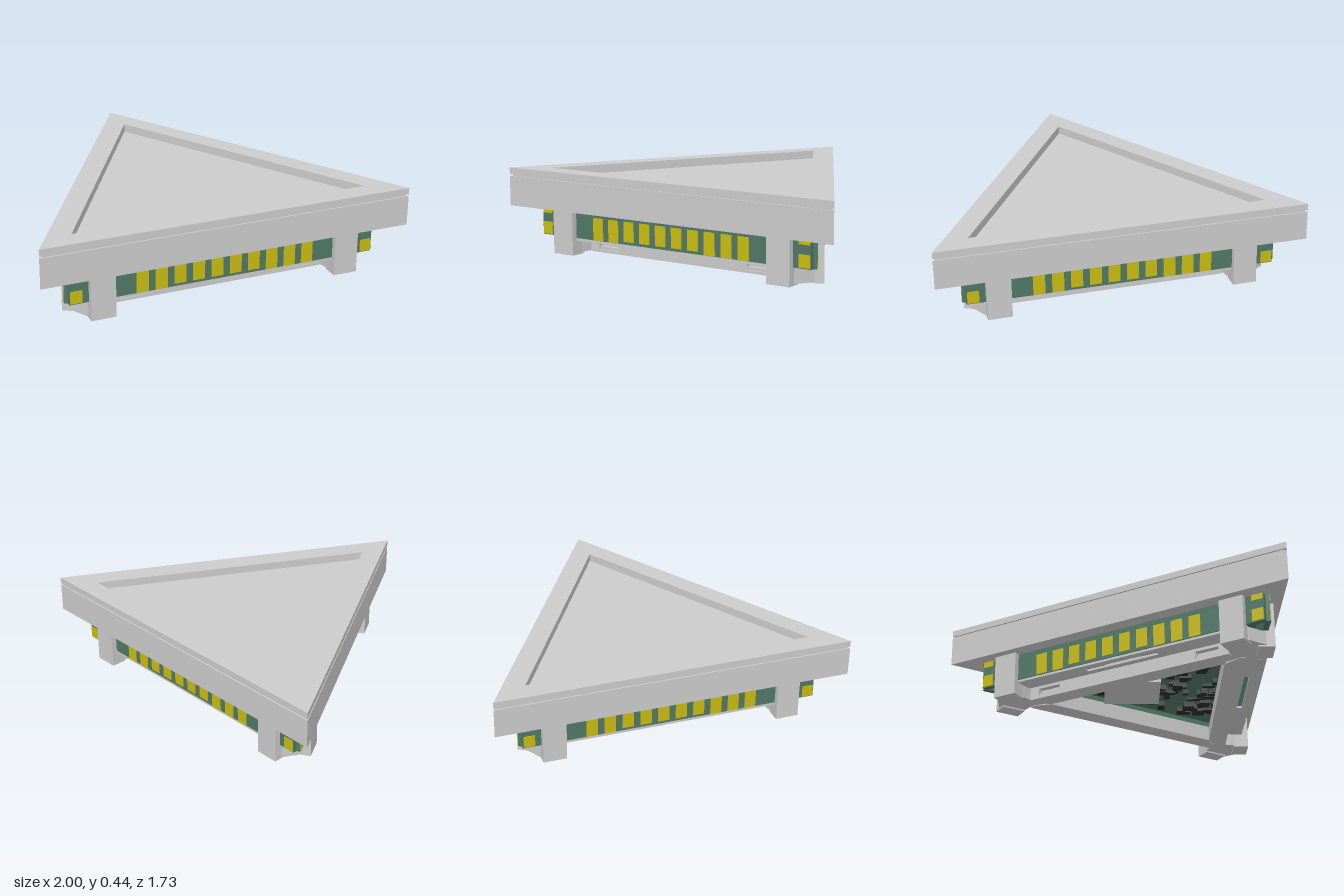
import * as THREE from 'three';

const mat = (name, color) => {
  const m = new THREE.MeshStandardMaterial({ color });
  m.name = name;
  return m;
};

export function createModel() {
  const grey = mat('casing grey', 0xcbcbcb);
  const green = mat('board green', 0x4f7868);
  const gold = mat('contact gold', 0xc9bb10);
  const black = mat('chip black', 0x2b302e);

  const model = new THREE.Group();
  model.name = 'triangularDevice';
  // All parts are laid out around the centre of the triangle
  const core = new THREE.Group();
  core.position.z = 0.289;
  model.add(core);

  const add = (parent, name, geo, material) => {
    const mesh = new THREE.Mesh(geo, material);
    mesh.name = name;
    parent.add(mesh);
    return mesh;
  };
  const box = (parent, name, material, x0, x1, y0, y1, z0, z1) =>
    add(parent, name, new THREE.BoxGeometry(x1 - x0, y1 - y0, z1 - z0)
      .translate((x0 + x1) / 2, (y0 + y1) / 2, (z0 + z1) / 2), material);

  // Flat slab from [x, z] outlines, standing between two heights
  const slab = (parent, name, material, pts, y0, y1, hole) => {
    const toV = (p) => p.map(([x, z]) => new THREE.Vector2(x, -z));
    const shape = new THREE.Shape(toV(pts));
    if (hole) shape.holes.push(new THREE.Path(toV(hole)));
    const geo = new THREE.ExtrudeGeometry(shape, { depth: y1 - y0, bevelEnabled: false });
    geo.rotateX(-Math.PI / 2).translate(0, y0, 0);
    return add(parent, name, geo, material);
  };
  // Equilateral triangle by the distance from its centre to a side
  const tri = (d) => [[-d * Math.sqrt(3), d], [d * Math.sqrt(3), d], [0, -2 * d]];
  const rect = (x0, x1, z0, z1) => [[x0, z0], [x1, z0], [x1, z1], [x0, z1]];

  // Head: solid body, thin seam, rim around the sunken screen
  const D = 0.5774;
  slab(core, 'headBody', grey, tri(D), 0.24, 0.4);
  slab(core, 'seam', grey, tri(D - 0.008), 0.4, 0.41, tri(0.462));
  slab(core, 'screenRim', grey, tri(D), 0.41, 0.445, tri(0.462));

  // Main board, seen through the open underside
  slab(core, 'mainBoard', green, tri(0.465), 0.2, 0.215);

  for (let k = 0; k < 3; k++) {
    const side = new THREE.Group();
    side.name = 'side' + (k + 1);
    side.rotation.y = (k * Math.PI * 2) / 3;
    core.add(side);

    // Edge board with its row of contacts
    box(side, 'edgeBoard', green, -0.835, 0.835, 0.09, 0.24, 0.475, 0.503);
    for (let i = 0; i < 10; i++) {
      const x = -0.455 + i * 0.101;
      box(side, 'contact', gold, x - 0.032, x + 0.032, i > 1 && i < 7 ? 0.105 : 0.092, 0.21, 0.5, 0.507);
    }

    // Ledge under the edge board, with a long slot
    slab(side, 'ledge', grey,
      [[-0.62, 0.5], [0.62, 0.5], [0.62, 0.36], [0.52, 0.3], [-0.52, 0.3], [-0.62, 0.36]],
      0.076, 0.089, rect(-0.21, 0.21, 0.435, 0.462));

    // Lower bar: front plate with two latch slots, and its backing
    const plate = new THREE.Shape([[-0.59, 0.005], [0.59, 0.005], [0.59, 0.076], [-0.59, 0.076]]
      .map(([x, y]) => new THREE.Vector2(x, y)));
    for (const s of [-1, 1]) {
      const a = s * 0.47 - 0.065, b = s * 0.47 + 0.065;
      plate.holes.push(new THREE.Path([[a, 0.02], [b, 0.02], [b, 0.06], [a, 0.06]]
        .map(([x, y]) => new THREE.Vector2(x, y))));
      box(side, 'latch', grey, a, b, 0.02, 0.036, 0.37, 0.392);
    }
    add(side, 'lowerBar', new THREE.ExtrudeGeometry(plate, { depth: 0.03, bevelEnabled: false })
      .translate(0, 0, 0.37), grey);
    slab(side, 'barBacking', grey, [[-0.59, 0.37], [0.59, 0.37], [0.52, 0.3], [-0.52, 0.3]], 0.005, 0.076);

    for (const s of [-1, 1]) {
      // Leg gripping the edge board
      const [x0, x1] = s > 0 ? [0.605, 0.735] : [-0.735, -0.605];
      box(side, 'leg', grey, x0, x1, 0, 0.24, 0.503, 0.535);
      box(side, 'legFoot', grey, x0, x1, 0, 0.088, 0.45, 0.505);
      // Paired contacts at the end of the board
      for (const [y0, y1] of [[0.095, 0.16], [0.208, 0.24]]) {
        box(side, 'endContact', gold, s * 0.8 - 0.031, s * 0.8 + 0.031, y0, y1, 0.5, 0.507);
      }
    }

    // Corner block joining the feet, symmetric about the corner
    const half = [[0.54, 0.312], [0.59, 0.37], [0.605, 0.46], [0.66, 0.49], [0.74, 0.49]];
    const mirrored = half.map(([x, z]) => {
      const r = Math.hypot(x, z), a = Math.PI / 3 - Math.atan2(z, x);
      return [r * Math.cos(a), r * Math.sin(a)];
    }).reverse();
    slab(side, 'cornerBlock', grey, [...half, ...mirrored], 0.008, 0.08);
  }

  // Battery block hanging under the main board
  box(core, 'batteryBlock', grey, -0.2, 0.1, 0.05, 0.2, -0.31, -0.01);

  // Small chips scattered on the underside of the main board
  let seed = 7;
  const rnd = () => (seed = (seed * 16807) % 2147483647) / 2147483647;
  for (let i = 0; i < 150; i++) {
    const x = (rnd() - 0.5) * 1.2, z = -0.6 + rnd() * 0.95;
    const w = 0.012 + rnd() * 0.025, l = 0.012 + rnd() * 0.025, h = 0.012 + rnd() * 0.02;
    const underBattery = x > -0.25 && x < 0.15 && z > -0.36 && z < 0.04;
    const outside = Math.abs(x) * Math.sqrt(3) / 2 - z / 2 > 0.38;
    const dotArea = x < -0.28 && z > 0.1;
    if (underBattery || outside || dotArea) continue;
    box(core, 'chip', black, x - w, x + w, 0.2 - h, 0.201, z - l, z + l);
  }

  // Grid of drilled holes near one corner of the main board
  const dot = new THREE.CylinderGeometry(0.011, 0.011, 0.004, 8);
  for (let i = 0; i < 6; i++) {
    for (let j = 0; j < 5; j++) {
      add(core, 'drillHole', dot, black)
        .position.set(-0.32 - i * 0.045, 0.199, 0.16 + j * 0.045 + (i % 2) * 0.022);
    }
  }

  return model;
}
